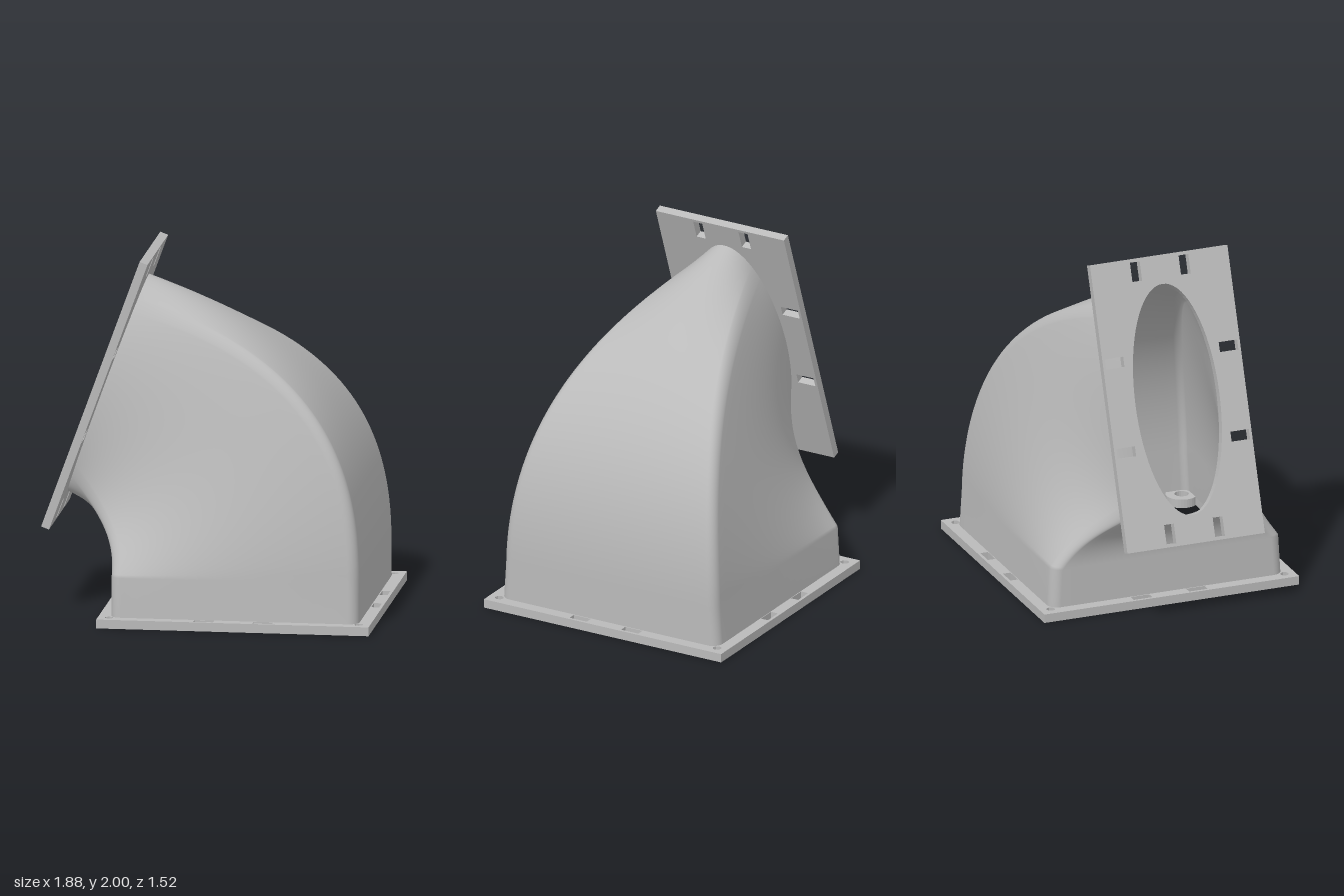
import * as THREE from 'three';

const CX = 0.178;                       // centre of the square base in x
const BASE_H = 0.05, COLLAR_H = 0.27;   // plate thickness, end of straight collar
const TILT = THREE.MathUtils.degToRad(70);
const ALONG = new THREE.Vector3(Math.cos(TILT), Math.sin(TILT), 0);   // up the tilted plate
const OUT = new THREE.Vector3(-Math.sin(TILT), Math.cos(TILT), 0);    // out of the outlet
const OUTLET = new THREE.Vector3(-0.62, 1.231, 0);                    // outlet centre

function rect(Type, x, y, w, h) {
  return new Type([[-1, -1], [1, -1], [1, 1], [-1, 1]]
    .map(([a, b]) => new THREE.Vector2(x + a * w / 2, y + b * h / 2)));
}

function ellipse(x, y, rx, ry, n) {
  return new THREE.Path(Array.from({ length: n }, (_, i) => {
    const a = i / n * Math.PI * 2;
    return new THREE.Vector2(x + rx * Math.cos(a), y + ry * Math.sin(a));
  }));
}

// Matching points: rounded square (u, v) at the base, angle a on the outlet ellipse
function outline(hu, hv, r) {
  const edge = 20, arc = 8, spread = 6, points = [];
  const cornerAngle = [40, 140, 220, 320];
  const signs = [[1, 1], [-1, 1], [-1, -1], [1, -1]];
  for (let k = 0; k < 4; k++) {
    const corner = [];
    for (let i = 0; i <= arc; i++) {
      const f = i / arc, q = (k + f) * Math.PI / 2;
      corner.push({
        u: signs[k][0] * (hu - r) + r * Math.cos(q),
        v: signs[k][1] * (hv - r) + r * Math.sin(q),
        a: cornerAngle[k] + spread * (2 * f - 1),
      });
    }
    points.push(...corner);
    // straight side to the next corner
    const n = (k + 1) % 4, q = (k + 1) * Math.PI / 2, last = corner[arc];
    const next = {
      u: signs[n][0] * (hu - r) + r * Math.cos(q),
      v: signs[n][1] * (hv - r) + r * Math.sin(q),
      a: cornerAngle[n] - spread + (n === 0 ? 360 : 0),
    };
    for (let i = 1; i < edge; i++) {
      const f = i / edge, mix = (key) => last[key] + (next[key] - last[key]) * f;
      points.push({ u: mix('u'), v: mix('v'), a: mix('a') });
    }
  }
  return points;
}

// Centre line of the short (-) or long (+) side of the bend
function bendCurve(u, s, startPull, endPull) {
  const start = new THREE.Vector3(CX + u, COLLAR_H, 0);
  const end = OUTLET.clone().addScaledVector(ALONG, s);
  const d = start.distanceTo(end);
  return new THREE.CubicBezierCurve3(start,
    start.clone().setY(COLLAR_H + startPull * d),
    end.clone().addScaledVector(OUT, -endPull * d), end);
}

// Bent transition from the square base to the elliptical outlet
function ductWall(inset, inward) {
  const hu = 0.6925 - inset, hv = 0.695 - inset;
  const ra = 0.657 - inset * 0.6, rb = 0.267 - inset * 0.8;
  const points = outline(hu, hv, 0.06 - inset), n = points.length, steps = 44;
  const shortSide = bendCurve(-hu, -ra, 0.43, 0.43);
  const longSide = bendCurve(hu, ra, 0.4, 0.46);
  const pos = [], index = [];
  for (const p of points) pos.push(CX + p.u, BASE_H - 0.005, p.v);
  for (let s = 0; s <= steps; s++) {
    const t = s / steps, round = t ** 3;
    const low = shortSide.getPoint(t), high = longSide.getPoint(t);
    for (const p of points) {
      const a = THREE.MathUtils.degToRad(p.a), side = p.u / hu;
      // faces stay flat for most of the bend and round off near the outlet
      const f = THREE.MathUtils.lerp(side, Math.cos(a), round);
      const q = low.clone().lerp(high, (1 + f) / 2);
      // the short side narrows sooner than the long side
      const narrow = t ** (1.3 + 0.3 * side);
      pos.push(q.x, q.y, THREE.MathUtils.lerp(p.v * 0.98, rb * Math.sin(a), narrow));
    }
  }
  for (let s = 0; s <= steps; s++) {
    for (let i = 0; i < n; i++) {
      const a = s * n + i, b = s * n + (i + 1) % n, c = a + n, d = b + n;
      if (inward) index.push(a, d, c, a, b, d);
      else index.push(a, c, d, a, d, b);
    }
  }
  const g = new THREE.BufferGeometry();
  g.setAttribute('position', new THREE.Float32BufferAttribute(pos, 3));
  g.setIndex(index);
  g.computeVertexNormals();
  return g;
}

function basePlate() {
  const shape = rect(THREE.Shape, 0, 0, 1.52, 1.52);
  // square opening with a round screw tab in each corner
  const opening = [], h = 0.675, c = 0.62, r = 0.09;
  const bite = Math.acos((h - c) / r);
  for (let k = 0; k < 4; k++) {
    for (let i = 0; i <= 16; i++) {
      const a = -bite - (1.5 * Math.PI - 2 * bite) * i / 16;
      const p = new THREE.Vector2(c + r * Math.cos(a), c + r * Math.sin(a));
      opening.push(p.rotateAround(new THREE.Vector2(), k * Math.PI / 2));
    }
  }
  shape.holes.push(new THREE.Path(opening));
  for (const a of [-1, 1]) {
    for (const b of [-1, 1]) {
      shape.holes.push(ellipse(a * 0.6975, b * 0.6975, 0.025, 0.025, 8));
      shape.holes.push(ellipse(a * c, b * c, 0.04, 0.04, 20));
      shape.holes.push(rect(THREE.Path, a * 0.165, b * 0.721, 0.11, 0.045));
      shape.holes.push(rect(THREE.Path, a * 0.721, b * 0.165, 0.045, 0.11));
    }
  }
  const g = new THREE.ExtrudeGeometry(shape, { depth: BASE_H, bevelEnabled: false });
  return g.rotateX(-Math.PI / 2).translate(CX, 0, 0);
}

function outletPlate() {
  const shape = rect(THREE.Shape, 0, 0, 0.82, 1.607);
  shape.holes.push(ellipse(0, 0, 0.25, 0.645, 72));
  for (const a of [-1, 1]) {
    for (const b of [-1, 1]) {
      shape.holes.push(rect(THREE.Path, a * 0.145, b * 0.732, 0.058, 0.11));
      shape.holes.push(rect(THREE.Path, a * 0.34, b * 0.25, 0.11, 0.058));
    }
  }
  const g = new THREE.ExtrudeGeometry(shape, { depth: 0.047, bevelEnabled: false });
  const m = new THREE.Matrix4().makeBasis(new THREE.Vector3(0, 0, 1), ALONG, OUT);
  return g.applyMatrix4(m.setPosition(OUTLET));
}

export function createModel() {
  const group = new THREE.Group();
  group.name = 'ductAdapter';
  const grey = new THREE.MeshStandardMaterial({ color: 0xbababa });
  grey.name = 'grey plastic';
  const add = (name, geometry) => {
    const mesh = new THREE.Mesh(geometry, grey);
    mesh.name = name;
    group.add(mesh);
  };
  add('basePlate', basePlate());
  add('ductOuterWall', ductWall(0, false));
  add('ductInnerWall', ductWall(0.02, true));
  add('outletPlate', outletPlate());
  return group;
}
